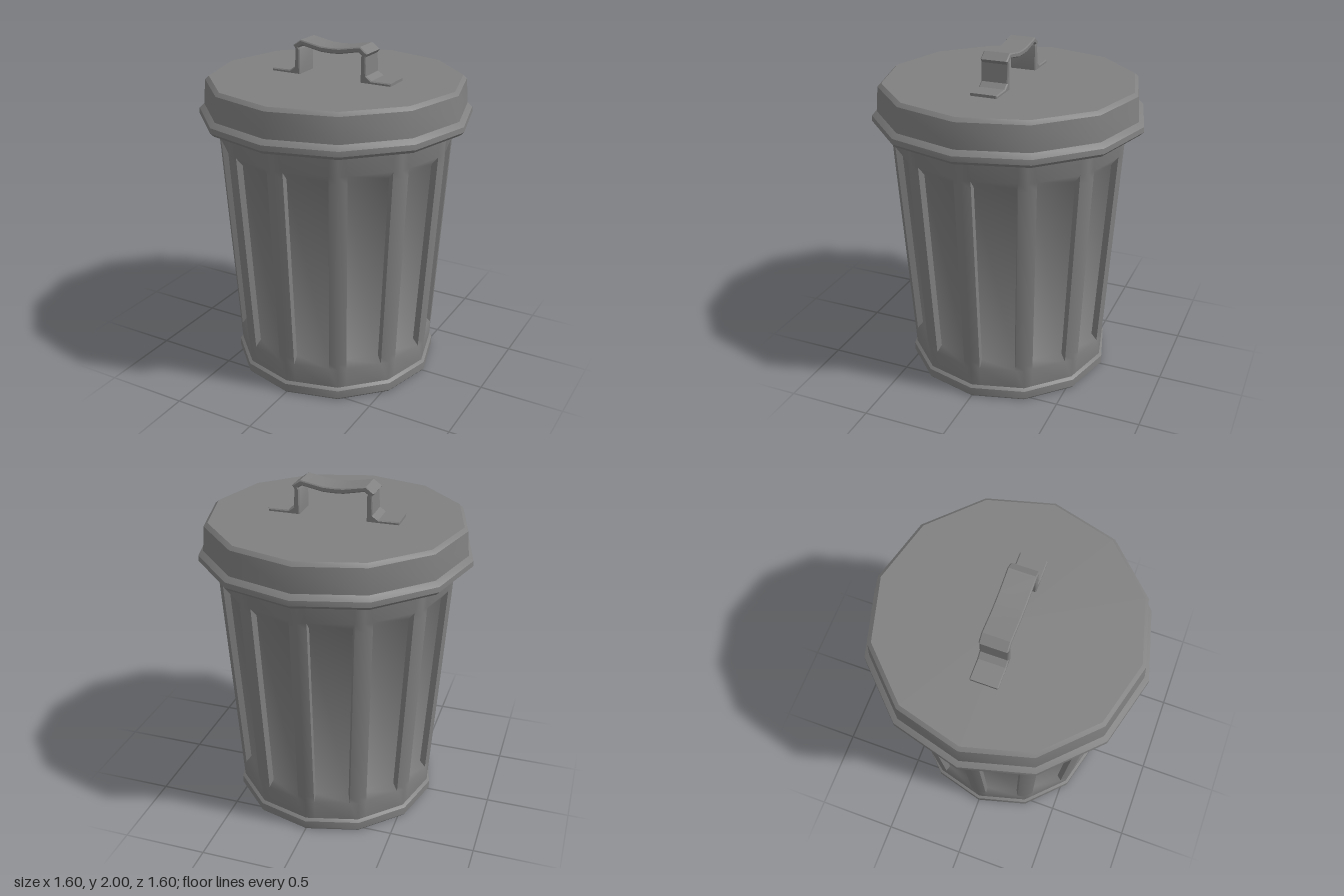
import * as THREE from 'three';
import { toCreasedNormals } from 'three/addons/utils/BufferGeometryUtils.js';

const SIDES = 12;
const material = new THREE.MeshStandardMaterial({ color: 0x808080 });

function addMesh(group, name, geometry, crease) {
  const mesh = new THREE.Mesh(toCreasedNormals(geometry, crease), material);
  mesh.name = name;
  group.add(mesh);
}

const lathe = (profile) =>
  new THREE.LatheGeometry(profile.map(([r, y]) => new THREE.Vector2(r, y)), SIDES);

// One horizontal section of the bin wall: a rib at each corner, a recessed panel between ribs
function wallSection(y, radius, depth) {
  const ribHalf = 0.052;
  const corner = (i) => {
    const a = (i / SIDES) * Math.PI * 2;
    return new THREE.Vector3(Math.sin(a) * radius, y, Math.cos(a) * radius);
  };
  const inward = (point, c) =>
    point.clone().addScaledVector(new THREE.Vector3(c.x, 0, c.z).normalize(), -depth);
  const points = [];
  for (let i = 0; i < SIDES; i++) {
    const c = corner(i), next = corner(i + 1);
    const along = next.clone().sub(c).normalize().multiplyScalar(ribHalf);
    const a = c.clone().add(along), b = next.clone().sub(along);
    points.push(c, a, inward(a, c), inward(b, next), b);
  }
  return points;
}

function wallGeometry() {
  const radiusAt = (y) => 0.604 + (y - 0.08) * 0.063;
  // height and panel depth of each section
  const sections = [[0.07, 0], [0.2, 0], [0.24, 0.036], [1.38, 0.036], [1.43, 0], [1.77, 0]];
  const positions = [], index = [], count = SIDES * 5;
  for (const [y, depth] of sections) {
    for (const p of wallSection(y, radiusAt(y), depth)) positions.push(p.x, p.y, p.z);
  }
  for (let s = 0; s < sections.length - 1; s++) {
    const lowDepth = sections[s][1], highDepth = sections[s + 1][1];
    for (let i = 0; i < count; i++) {
      const j = (i + 1) % count;
      const a = s * count + i, b = s * count + j, c = b + count, d = a + count;
      const recessSide = i % 5 === 1 || i % 5 === 3;
      // recess sides shrink to triangles where a panel fades out
      if (!recessSide || lowDepth) index.push(a, b, d);
      if (!recessSide || highDepth) index.push(b, c, d);
    }
  }
  const geometry = new THREE.BufferGeometry();
  geometry.setAttribute('position', new THREE.Float32BufferAttribute(positions, 3));
  geometry.setIndex(index);
  return geometry;
}

// Bent strap with chamfered edges: the left half is listed, the right half mirrored
function handleGeometry() {
  const outer = [[-0.387, 1.816], [-0.267, 1.816], [-0.233, 1.84], [-0.226, 1.945],
    [-0.241, 1.965], [-0.192, 2], [-0.06, 1.976], [0, 1.974]];
  const inner = [[-0.387, 1.79], [-0.198, 1.79], [-0.198, 1.942], [-0.204, 1.954],
    [-0.182, 1.969], [-0.06, 1.945], [0, 1.943]];
  const mirror = (half) => [...half, ...half.slice(0, -1).map(([x, y]) => [-x, y]).reverse()];
  const outline = [...mirror(inner), ...mirror(outer).reverse()];
  const shape = new THREE.Shape(outline.map(([x, y]) => new THREE.Vector2(x, y)));
  const geometry = new THREE.ExtrudeGeometry(shape, {
    depth: 0.148, bevelThickness: 0.006, bevelSize: 0.006, bevelOffset: -0.006, bevelSegments: 1,
  });
  return geometry.translate(0, 0, -0.074);
}

export function createModel() {
  const bin = new THREE.Group();
  bin.name = 'trashCan';

  // Ribbed wall
  addMesh(bin, 'body', wallGeometry(), 0.8);

  // Closed bottom with its rim
  addMesh(bin, 'baseRim', lathe([[0, 0], [0.61, 0], [0.62, 0.012], [0.62, 0.06],
    [0.6, 0.078]]), 0.6);

  // Hollow lid with a flared lip
  addMesh(bin, 'lid', lathe([[0, 1.77], [0.725, 1.77], [0.745, 1.56], [0.78, 1.56],
    [0.8, 1.58], [0.798, 1.61], [0.769, 1.636], [0.757, 1.78], [0.735, 1.8], [0, 1.8]]), 0.6);

  addMesh(bin, 'lidHandle', handleGeometry(), 0.6);
  return bin;
}
